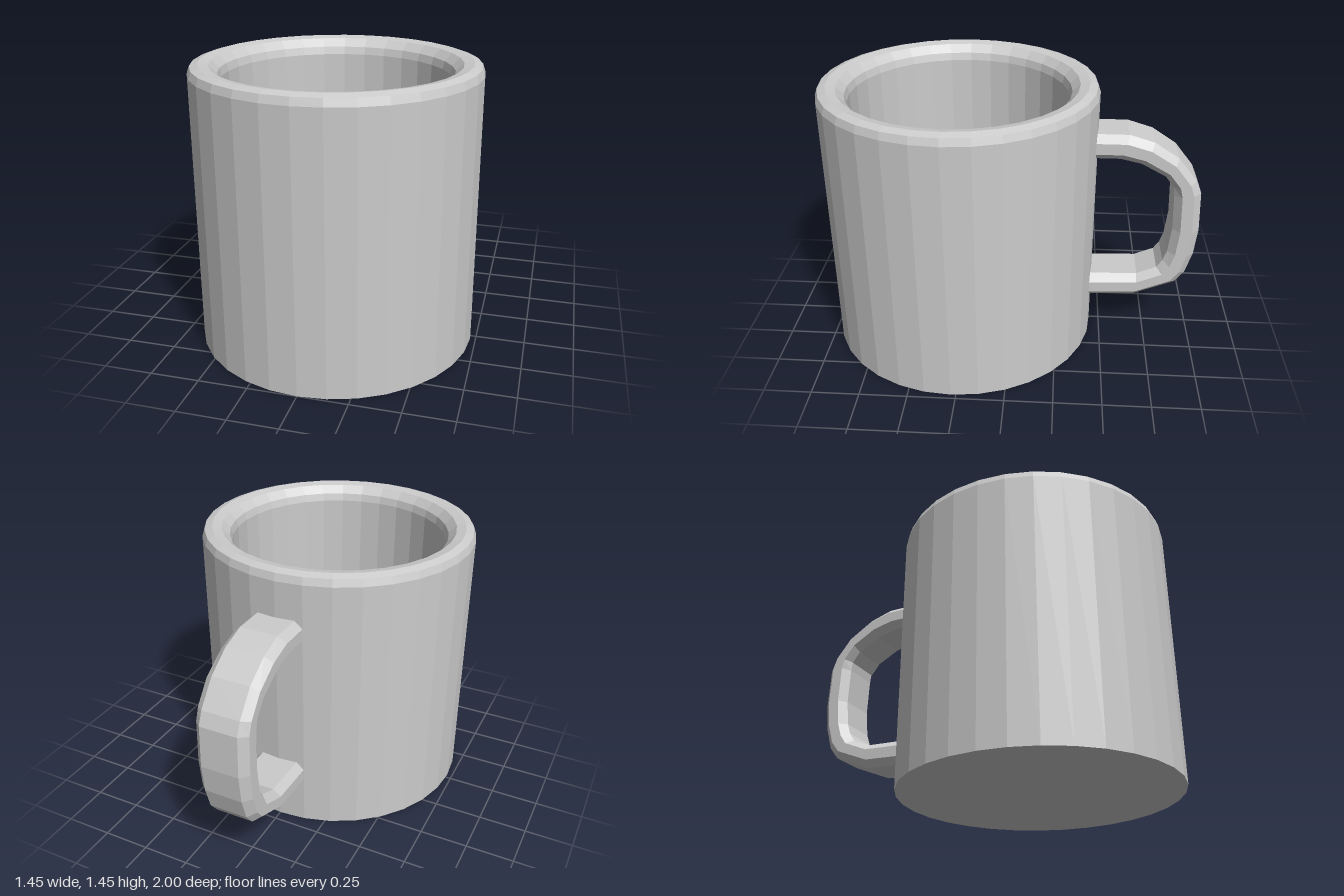
import * as THREE from 'three';

const material = new THREE.MeshStandardMaterial({ color: 0xcccccc, flatShading: true });

// Cup body: one closed profile, outside up, over the rim, down to the inner floor
function createCup() {
  const profile = [
    [0, 0], [0.7225, 0], [0.7225, 1.4], [0.71, 1.437], [0.67, 1.45],
    [0.62, 1.44], [0.58, 1.4], [0.57, 1.36], [0.57, 0.15], [0, 0.15],
  ].map(([r, y]) => new THREE.Vector2(r, y));
  const cup = new THREE.Mesh(new THREE.LatheGeometry(profile, 32), material);
  cup.name = 'cup';
  cup.position.z = 0.2775;
  return cup;
}

// Handle: chamfered section swept between an outer and an inner rail
function createHandle() {
  // each station: outer z, outer y, inner z, inner y
  const stations = [
    [-0.38, 1.21, -0.38, 1.075], [-0.6, 1.21, -0.56, 1.075],
    [-0.73, 1.17, -0.67, 1.05], [-0.86, 1.085, -0.8, 0.98],
    [-0.96, 0.96, -0.845, 0.92], [-0.99, 0.89, -0.852, 0.87],
    [-1.0, 0.67, -0.86, 0.67], [-0.985, 0.52, -0.845, 0.53],
    [-0.95, 0.4, -0.825, 0.47], [-0.9, 0.335, -0.795, 0.425],
    [-0.68, 0.245, -0.69, 0.38], [-0.38, 0.23, -0.38, 0.37],
  ];
  // section corners: x offset, and position from inner (0) to outer (1) rail
  const section = [
    [-0.1, 1], [0.1, 1], [0.14, 0.72], [0.14, 0.28],
    [0.1, 0], [-0.1, 0], [-0.14, 0.28], [-0.14, 0.72],
  ];
  const n = section.length;
  const positions = [];
  for (const [oz, oy, iz, iy] of stations) {
    for (const [x, t] of section) {
      positions.push(x, iy + (oy - iy) * t, iz + (oz - iz) * t);
    }
  }
  const index = [];
  for (let s = 0; s < stations.length - 1; s++) {
    for (let k = 0; k < n; k++) {
      const a = s * n + k;
      const b = s * n + ((k + 1) % n);
      index.push(a, b, a + n, b, b + n, a + n);
    }
  }
  // end caps inside the cup wall
  const last = (stations.length - 1) * n;
  for (let k = 1; k < n - 1; k++) {
    index.push(0, k + 1, k, last, last + k, last + k + 1);
  }
  const geometry = new THREE.BufferGeometry();
  geometry.setAttribute('position', new THREE.Float32BufferAttribute(positions, 3));
  geometry.setIndex(index);
  const flat = geometry.toNonIndexed();
  flat.computeVertexNormals();
  const handle = new THREE.Mesh(flat, material);
  handle.name = 'handle';
  return handle;
}

export function createModel() {
  const mug = new THREE.Group();
  mug.name = 'mug';
  mug.add(createCup(), createHandle());
  return mug;
}
